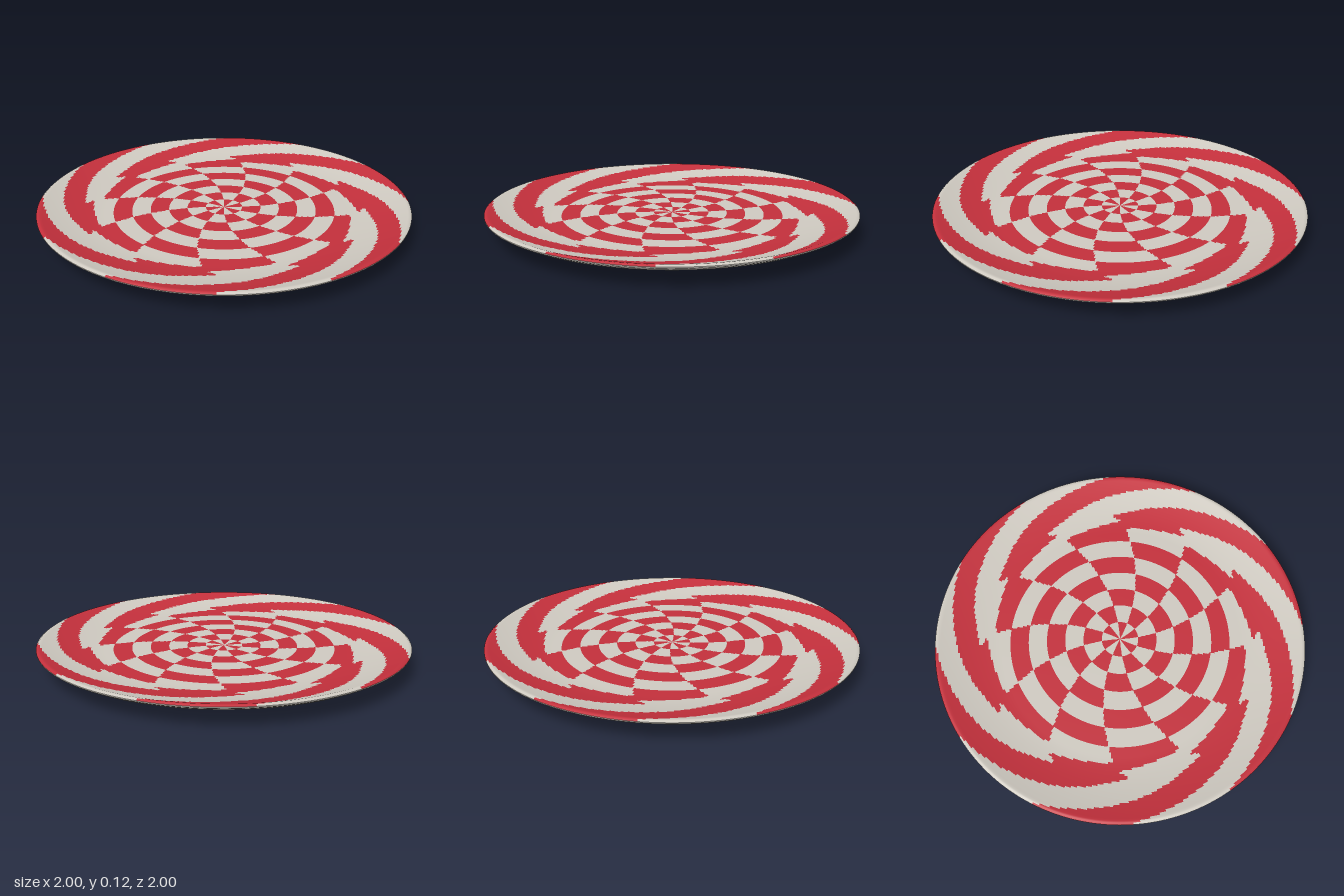
import * as THREE from 'three';

const cream = new THREE.MeshStandardMaterial({ color: 0xcfcac1 });
cream.name = 'cream glaze';
const red = new THREE.MeshStandardMaterial({ color: 0xc4303c });
red.name = 'red glaze';

const smooth = THREE.MathUtils.smoothstep;
const RINGS = 100, SECTORS = 360;

// Height of the eating surface at radius r: flat floor, raised edge, rounded lip
function topHeight(r) {
  if (r > 0.985) return 0.12 - 0.008 * ((r - 0.985) / 0.015) ** 2;
  return 0.065 + 0.055 * Math.pow(Math.max(0, (r - 0.66) / 0.325), 1.7);
}

// Twelve-sector swirl: stepped checks in the middle melt into six spiral arms at the rim
function isRed(x, z) {
  const r = Math.hypot(x, z);
  const twist = 1.17 * (r - 0.33) + 0.3 * smooth(r, 0.7, 0.85);
  const u = (Math.atan2(z, x) + Math.PI / 2) / (Math.PI / 6) + twist;
  const step = Math.floor(u);
  const melt = smooth(r, 0.55, 0.88);
  const band = Math.floor(r * 10 - step - melt * (u - step - 0.5));
  return band % 2 === 0;
}

// Top surface turned from rim to centre, its cells sorted into two colour groups
function patternedTop() {
  const profile = [];
  for (let i = RINGS; i >= 0; i--) profile.push(new THREE.Vector2(i / RINGS, topHeight(i / RINGS)));
  const geo = new THREE.LatheGeometry(profile, SECTORS);
  const pos = geo.attributes.position, index = geo.index.array;
  const sorted = [[], []];
  for (let i = 0; i < index.length; i += 6) {
    let x = 0, z = 0;
    const cell = Array.from(index.slice(i, i + 6));
    for (const v of cell) { x += pos.getX(v) / 6; z += pos.getZ(v) / 6; }
    sorted[isRed(x, z) ? 1 : 0].push(...cell);
  }
  geo.setIndex(sorted[0].concat(sorted[1]));
  geo.clearGroups();
  geo.addGroup(0, sorted[0].length, 0);
  geo.addGroup(sorted[0].length, sorted[1].length, 1);
  return geo;
}

export function createModel() {
  const plate = new THREE.Group();
  plate.name = 'plate';

  const top = new THREE.Mesh(patternedTop(), [cream, red]);
  top.name = 'swirlTop';
  plate.add(top);

  // Underside with a low foot, turned from centre to rim
  const under = [
    [0, 0.012], [0.3, 0.01], [0.48, 0.004], [0.53, 0], [0.562, 0], [0.575, 0.011],
    [0.6, 0.02], [0.68, 0.025], [0.77, 0.032], [0.84, 0.046], [0.91, 0.064],
    [0.96, 0.083], [0.99, 0.099], [1, 0.106], [1, 0.112],
  ].map(([x, y]) => new THREE.Vector2(x, y));
  const underside = new THREE.Mesh(new THREE.LatheGeometry(under, 96), cream);
  underside.name = 'underside';
  plate.add(underside);

  return plate;
}
